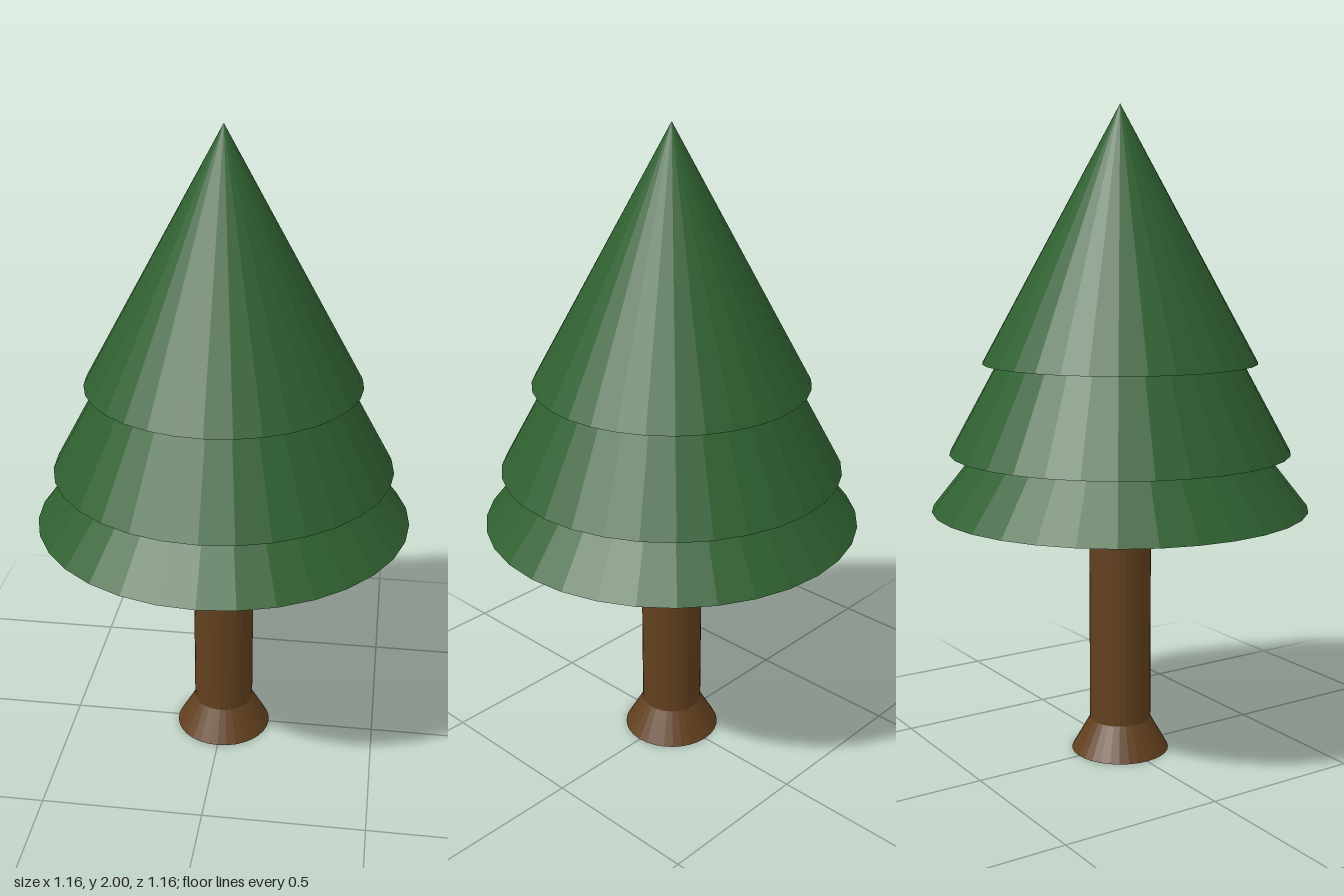
import * as THREE from 'three';

const SIDES = 32;

export function createModel() {
  const tree = new THREE.Group();
  tree.name = 'pineTree';
  const green = new THREE.MeshStandardMaterial({ color: 0x2f6030, flatShading: true });
  const brown = new THREE.MeshStandardMaterial({ color: 0x62401f, flatShading: true });

  // Closed round part standing between two heights
  function addPart(name, geometry, bottom, height, material) {
    geometry.translate(0, bottom + height / 2, 0);
    const mesh = new THREE.Mesh(geometry, material);
    mesh.name = name;
    tree.add(mesh);
  }

  // Trunk with a flared foot
  addPart('trunkFoot', new THREE.CylinderGeometry(0.096, 0.153, 0.1, SIDES), 0, 0.1, brown);
  addPart('trunk', new THREE.CylinderGeometry(0.096, 0.096, 0.74, SIDES), 0.08, 0.74, brown);

  // Overlapping foliage cones: name, radius, base height, tip height
  const tiers = [
    ['lowerFoliage', 0.58, 0.784, 1.516],
    ['middleFoliage', 0.524, 0.957, 1.92],
    ['upperFoliage', 0.421, 1.23, 2],
  ];
  for (const [name, radius, base, tip] of tiers) {
    addPart(name, new THREE.ConeGeometry(radius, tip - base, SIDES), base, tip - base, green);
  }
  return tree;
}
